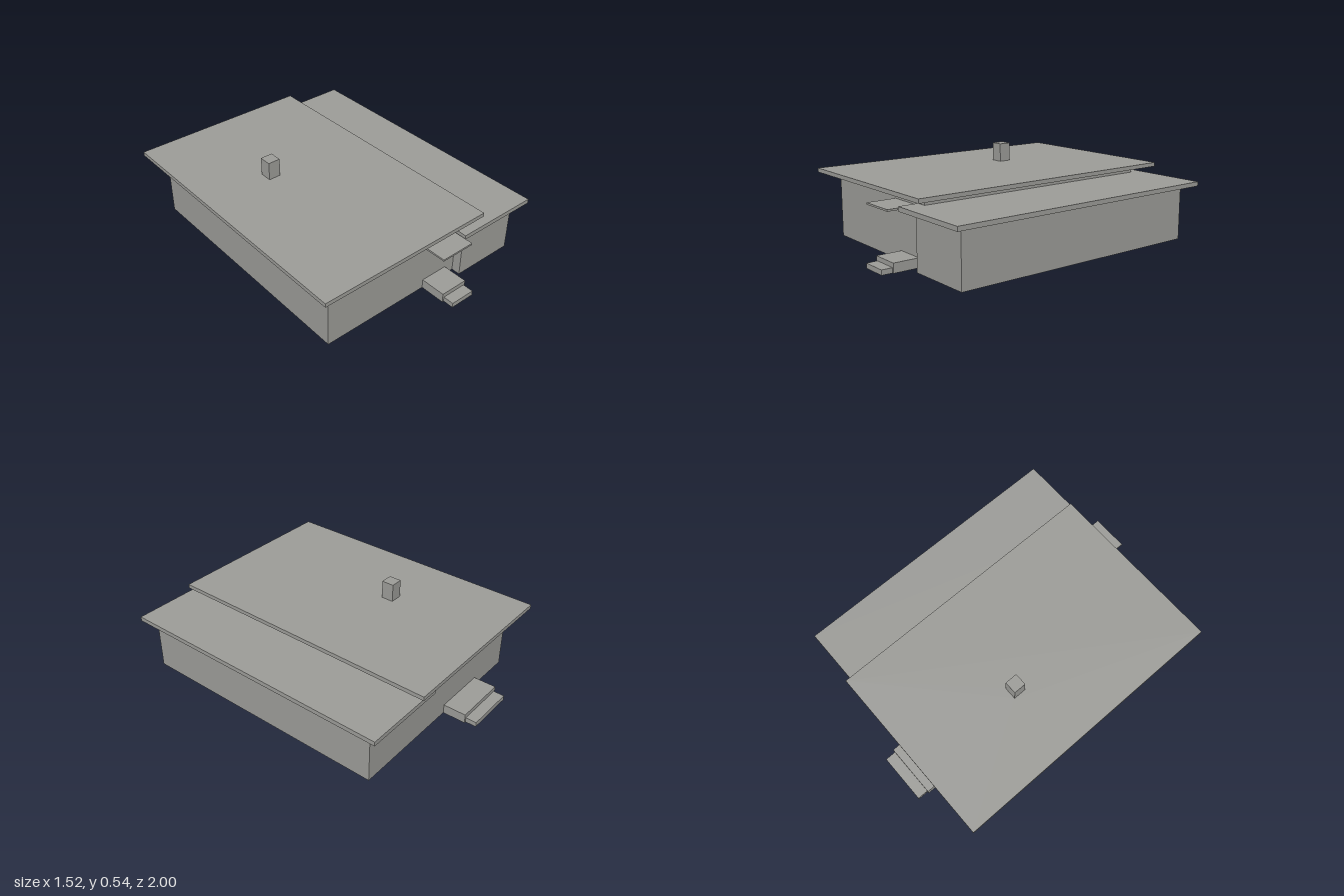
import * as THREE from 'three';

export function createModel() {
  const house = new THREE.Group();
  house.name = 'house';
  // Thin open shells everywhere, so both sides show
  const plaster = new THREE.MeshStandardMaterial({ color: 0x9c9c98, side: THREE.DoubleSide });
  plaster.name = 'warm grey';

  const add = (name, geometry) => {
    const mesh = new THREE.Mesh(geometry, plaster);
    mesh.name = name;
    house.add(mesh);
    return mesh;
  };

  // Box given by its extents; faces listed in "open" are left out (2 top, 3 bottom, 4 front, 5 back)
  const box = (name, [x0, x1], [y0, y1], [z0, z1], open = []) => {
    const g = new THREE.BoxGeometry(x1 - x0, y1 - y0, z1 - z0);
    g.translate((x0 + x1) / 2, (y0 + y1) / 2, (z0 + z1) / 2);
    g.setIndex(Array.from(g.index.array).filter((_, i) => !open.includes(Math.floor(i / 6))));
    return add(name, g);
  };

  // Upright wall panels along a plan path of [x, z] points, outside on the right-hand side
  const walls = (name, path, y0, y1) => {
    const pos = [];
    for (let i = 0; i < path.length - 1; i++) {
      const [ax, az] = path[i], [bx, bz] = path[i + 1];
      pos.push(ax, y0, az, bx, y0, bz, bx, y1, bz, ax, y0, az, bx, y1, bz, ax, y1, az);
    }
    const g = new THREE.BufferGeometry();
    g.setAttribute('position', new THREE.Float32BufferAttribute(pos, 3));
    g.computeVertexNormals();
    return add(name, g);
  };

  const xl = -0.66, xm = 0.285, xr = 0.69;
  const back = -0.79, front = 0.775, wingFront = 0.83;

  // Hollow walls of the main block and the lower side wing
  walls('mainWalls', [[xm, back], [xl, back], [xl, front], [xm, front]], 0, 0.397);
  walls('wingWalls', [[xm, front], [xm, wingFront], [xr, wingFront], [xr, back], [xm, back]], 0, 0.33);
  walls('upperSideWall', [[xm, front], [xm, back]], 0.33, 0.397);

  // Chimney, open below
  const cx = [-0.339, -0.261], cz = [-0.231, -0.153];
  box('chimney', cx, [0.42, 0.535], cz, [3]);

  // Main roof slab with the flue hole
  const rect = (path, [x0, x1], [z0, z1]) => {
    path.moveTo(x0, -z1).lineTo(x1, -z1).lineTo(x1, -z0).lineTo(x0, -z0).closePath();
    return path;
  };
  const slab = rect(new THREE.Shape(), [-0.76, 0.385], [-0.9, 0.875]);
  slab.holes.push(rect(new THREE.Path(), cx, cz));
  const roof = new THREE.ExtrudeGeometry(slab, { depth: 0.025, bevelEnabled: false });
  roof.rotateX(-Math.PI / 2).translate(0, 0.397, 0);
  add('mainRoof', roof);

  // Wing roof and door canopy
  box('wingRoof', [0.219, 0.757], [0.33, 0.357], [-0.868, 0.897]);
  box('doorCanopy', [-0.012, 0.209], [0.335, 0.346], [front, 0.955]);

  // Entrance steps, hollow below
  box('frontUpperStep', [0.037, 0.217], [0, 0.057], [front, 0.933], [3, 5]);
  box('frontLowerStep', [0.048, 0.208], [0, 0.03], [0.933, 1], [3, 5]);
  box('backUpperStep', [-0.357, -0.021], [0, 0.057], [-0.932, back], [3, 4]);
  box('backLowerStep', [-0.346, -0.032], [0, 0.03], [-1, -0.932], [3, 4]);

  return house;
}
